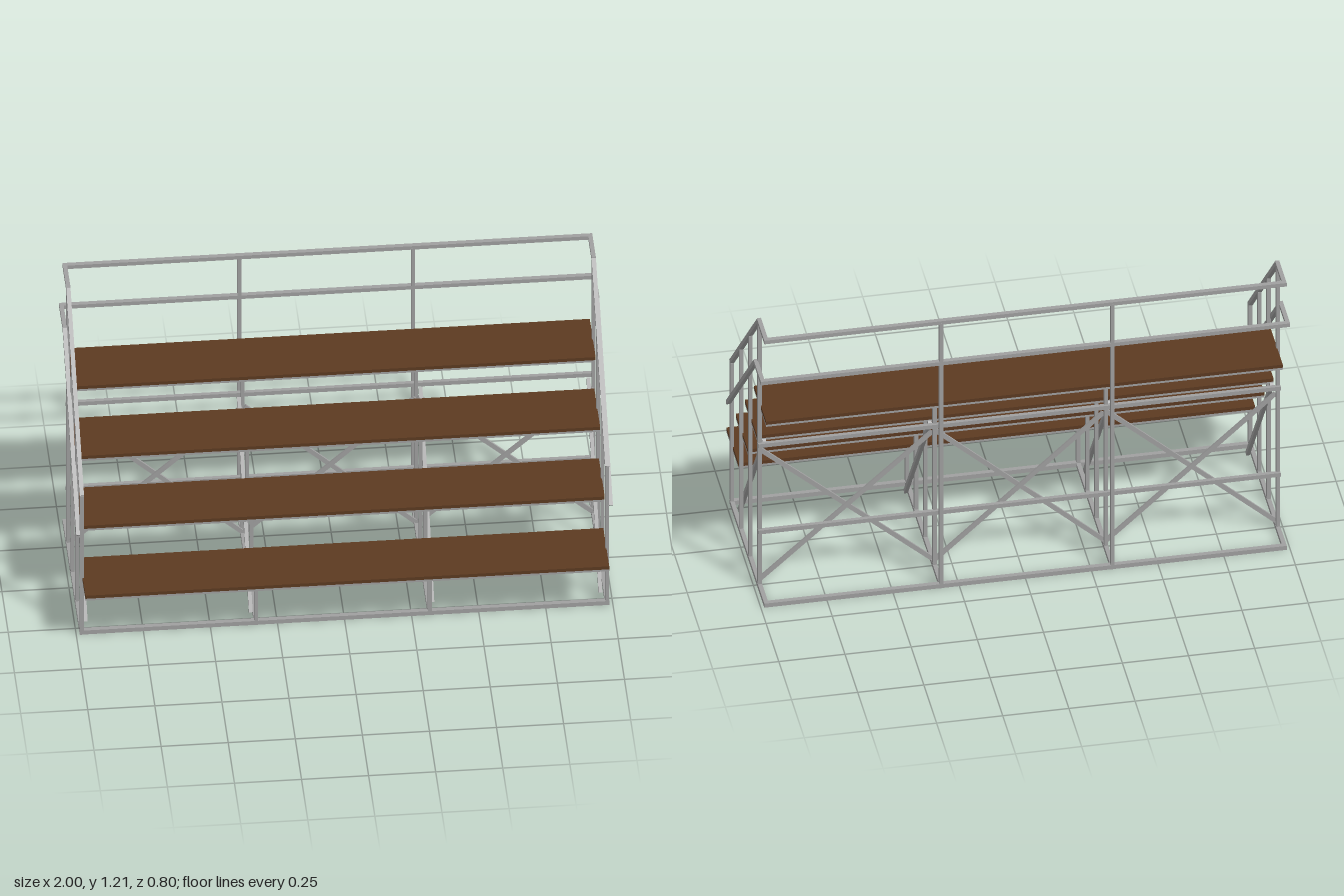
import * as THREE from 'three';

const steel = new THREE.MeshStandardMaterial({ color: 0xa0a0a0 });
steel.name = 'grey steel';
const wood = new THREE.MeshStandardMaterial({ color: 0x5c3a21 });
wood.name = 'brown wood';

const END = 0.979;             // end frames
const BACK = -0.39;            // back rail plane
const T = 0.018;               // tube thickness
const ROWS = 4, RISE = 0.188, RUN = 0.181;
const FRAMES = [-END, -0.329, 0.318, END];

export function createModel() {
  const root = new THREE.Group();
  root.name = 'bleachers';

  // Square tube between two points
  function tube(parent, name, a, b, w = T, h = T) {
    const p = new THREE.Vector3(...a), q = new THREE.Vector3(...b);
    const mesh = new THREE.Mesh(new THREE.BoxGeometry(w, h, p.distanceTo(q)), steel);
    mesh.position.copy(p).add(q).multiplyScalar(0.5);
    mesh.lookAt(q);
    mesh.name = name;
    parent.add(mesh);
  }
  function group(name) {
    const g = new THREE.Group();
    g.name = name;
    root.add(g);
    return g;
  }

  // Ground frame
  const base = group('baseFrame');
  for (const z of [0.281, BACK]) tube(base, 'baseBeam', [-0.987, 0.009, z], [0.987, 0.009, z]);
  for (const x of FRAMES) tube(base, 'baseCrossBeam', [x, 0.009, 0.29], [x, 0.009, -0.399], 0.016);

  // Upright posts: tall at the ends, up to the seats inside
  const posts = group('posts');
  for (const x of FRAMES) {
    const isEnd = Math.abs(x) > 0.9;
    for (let i = 0; i < ROWS; i++) {
      const z = 0.281 - RUN * i;
      const top = isEnd ? 0.645 + 0.186 * i : 0.245 + RISE * i;
      tube(posts, 'post', [x, 0, z], [x, top, z], 0.014, i % 3 ? 0.017 : 0.02);
    }
    if (!isEnd) tube(posts, 'backPost', [x, 0, BACK], [x, 1.2, BACK], 0.014, 0.02);
    // sloping brace beside each row of posts
    const bx = isEnd ? x - Math.sign(x) * 0.02 : x + Math.sign(x) * 0.015;
    tube(posts, 'slopingBrace', [bx, 0.01, 0.225], [bx, 0.652, -0.252], 0.014, 0.016);
  }

  // Seats: boards on an open steel frame
  for (let i = 0; i < ROWS; i++) {
    const seat = group('seatRow');
    seat.position.set(0, 0.264 + RISE * i, 0.2825 - RUN * i);
    const board = new THREE.Mesh(new THREE.BoxGeometry(1.952, 0.014, 0.236), wood);
    board.position.y = -0.007;
    board.name = 'seatBoard';
    seat.add(board);
    for (const z of [-0.11, 0.11])
      tube(seat, 'seatRail', [-0.976, -0.0185, z], [0.976, -0.0185, z], 0.016, 0.009);
    for (const x of [-0.968, FRAMES[1], FRAMES[2], 0.968])
      tube(seat, 'seatCrossRail', [x, -0.0185, -0.117], [x, -0.0185, 0.117], 0.016, 0.009);
  }

  // Guard rails
  const rails = group('guardRails');
  tube(rails, 'topBackRail', [-0.987, 1.203, BACK], [0.987, 1.203, BACK], T, 0.016);
  tube(rails, 'middleBackRail', [-1, 1.018, BACK], [1, 1.018, BACK], T, 0.016);
  for (const s of [-1, 1]) {
    const x = s * END, o = s * 0.992;
    tube(rails, 'topSlopeRail', [x, 0.643, 0.286], [x, 1.203, -0.256], 0.016, 0.016);
    tube(rails, 'topEndRail', [x, 1.203, -0.25], [x, 1.203, -0.399], 0.016, 0.016);
    tube(rails, 'middleSlopeRail', [o, 0.46, 0.286], [o, 1.018, -0.256], 0.016, 0.016);
    tube(rails, 'middleEndRail', [o, 1.018, -0.25], [o, 1.018, -0.399], 0.016, 0.016);
  }

  // Rear bracing: long bars and a cross in each bay
  const bracing = group('rearBracing');
  for (const y of [0.259, 0.651])
    tube(bracing, 'longBar', [-0.987, y, -0.274], [0.987, y, -0.274], 0.015, 0.017);
  for (let i = 0; i < 3; i++) {
    const l = FRAMES[i] + 0.006, r = FRAMES[i + 1] - 0.006;
    tube(bracing, 'crossBrace', [l, 0.03, -0.244], [r, 0.61, -0.244], 0.008, 0.018);
    tube(bracing, 'crossBrace', [l, 0.61, -0.25], [r, 0.03, -0.25], 0.008, 0.018);
  }
  return root;
}
